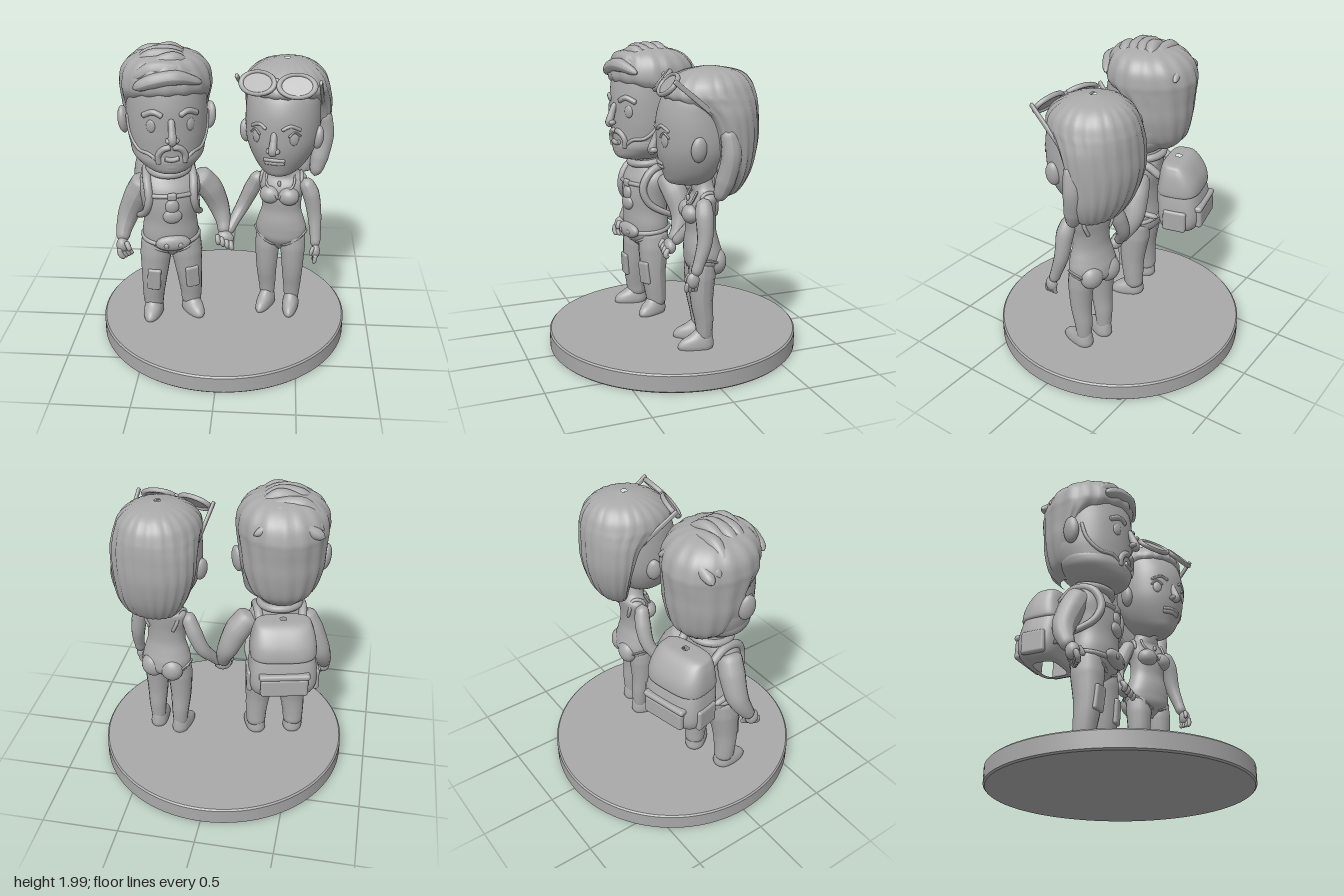
import * as THREE from 'three';
import { toCreasedNormals } from 'three/addons/utils/BufferGeometryUtils.js';
import { RoundedBoxGeometry } from 'three/addons/geometries/RoundedBoxGeometry.js';

const clay = new THREE.MeshStandardMaterial({ color: 0xa9a9a9 });
clay.name = 'clay grey';

function add(parent, name, geo, pos = [0, 0, 0], rot = [0, 0, 0], scale = [1, 1, 1]) {
  const m = new THREE.Mesh(geo, clay);
  m.name = name;
  m.position.set(...pos); m.rotation.set(...rot); m.scale.set(...scale);
  parent.add(m);
  return m;
}
const blob = (p, name, pos, scale, rot) => add(p, name, new THREE.SphereGeometry(1, 24, 16), pos, rot, scale);
const box = (p, name, size, pos, rot, r = 0.015) => add(p, name, new RoundedBoxGeometry(...size, 3, r), pos, rot);

// Cross-section rings [y, centreX, centreZ, halfWidth, frontDepth, backDepth], lowest first
function ringAt(rings, t) {
  const f = t * (rings.length - 1), i = Math.min(Math.floor(f), rings.length - 2), u = f - i;
  const [a, b, c, d] = [-1, 0, 1, 2].map(k => rings[Math.max(0, Math.min(rings.length - 1, i + k))]);
  return b.map((_, k) => 0.5 * (2 * b[k] + (c[k] - a[k]) * u + (2 * a[k] - 5 * b[k] + 4 * c[k] - d[k]) * u * u
    + (3 * b[k] - a[k] - 3 * c[k] + d[k]) * u * u * u));
}
function ringPoint([y, cx, cz, rx, rf, rb], a, off = 0, e = 1) {
  const s = Math.sin(a), c = Math.cos(a), pw = v => Math.sign(v) * Math.abs(v) ** e;
  return [cx + Math.max(0.001, rx + off) * pw(s), y, cz + Math.max(0.001, (c > 0 ? rf : rb) + off) * pw(c)];
}
function loft(parent, name, rings, { e = 1, waves = 0, depth = 0 } = {}) {
  const n = 72, rows = rings.length * 5, pos = [], idx = [];
  for (let j = 0; j <= rows; j++) {
    const ring = ringAt(rings, j / rows);
    for (let i = 0; i < n; i++) {
      const a = i / n * Math.PI * 2;
      pos.push(...ringPoint(ring, a, depth * Math.sin(a * waves + ring[0] * 5) * Math.min(1, ring[3] * 5), e));
      if (j < rows) {
        const p = j * n + i, q = j * n + (i + 1) % n;
        idx.push(p, q, p + n, q, q + n, p + n);
      }
    }
  }
  const g = new THREE.BufferGeometry();
  g.setAttribute('position', new THREE.Float32BufferAttribute(pos, 3));
  g.setIndex(idx);
  g.computeVertexNormals();
  return add(parent, name, g);
}
// Point on a lofted surface at height y and angle a (0 = front)
function onLoft(rings, y, a, off = 0) {
  let lo = 0, hi = 1;
  for (let k = 0; k < 30; k++) {
    const m = (lo + hi) / 2;
    if (ringAt(rings, m)[0] < y) lo = m; else hi = m;
  }
  return ringPoint(ringAt(rings, lo), a, off);
}
// Rounded tube through points [x, y, z, radius]
function limb(parent, name, pts, cap = 0.1) {
  const curve = new THREE.CatmullRomCurve3(pts.map(p => new THREE.Vector3(p[0], p[1], p[2])));
  const T = 28, R = 14, g = new THREE.TubeGeometry(curve, T, 1, R), pos = g.attributes.position, v = new THREE.Vector3();
  for (let i = 0; i <= T; i++) {
    const u = i / T, c = curve.getPointAt(u), f = curve.getUtoTmapping(u) * (pts.length - 1);
    const k = Math.min(Math.floor(f), pts.length - 2), d = Math.min(1, Math.min(u, 1 - u) / cap);
    const r = THREE.MathUtils.lerp(pts[k][3], pts[k + 1][3], f - k) * Math.max(0.02, Math.sqrt(1 - (1 - d) ** 2));
    for (let j = 0; j <= R; j++) {
      const q = i * (R + 1) + j;
      v.fromBufferAttribute(pos, q).sub(c).multiplyScalar(r).add(c);
      pos.setXYZ(q, v.x, v.y, v.z);
    }
  }
  g.computeVertexNormals();
  return add(parent, name, g);
}
const line = (p, name, rings, pts, r, off = 0) => limb(p, name, pts.map(([y, a]) => [...onLoft(rings, y, a, off), r]), 0.06);

function foot(parent, x, z, yaw, w, l) {
  const f = new THREE.Group();
  f.name = 'foot'; f.position.set(x, 0, z); f.rotation.y = yaw;
  loft(f, 'shoe', [[0.115, 0, 0, w * 0.9, l * 0.95, w], [0.14, 0, 0, w, l, w * 1.15], [0.175, 0, 0, w * 0.95, l * 0.85, w * 1.1],
    [0.21, 0, 0, w * 0.8, l * 0.5, w], [0.25, 0, 0, w * 0.6, w * 0.7, w * 0.8]]);
  parent.add(f);
}
function face(parent, head, o) {
  for (const s of [-1, 1]) {
    blob(parent, 'eye', onLoft(head, o.eyeY, s * o.eyeA, -0.004), [0.03, 0.042, 0.014], [0, s * o.eyeA, 0]);
    line(parent, 'eyebrow', head, [[o.browY, s * 0.2], [o.browY + 0.025, s * 0.42], [o.browY - 0.005, s * 0.72]], o.browR);
    blob(parent, 'ear', o.ear.map((v, i) => i ? v : s * v), [0.035, 0.085 * o.earS, 0.055 * o.earS], [0, s * 0.3, -s * 0.1]);
    blob(parent, 'nostril', [s * 0.024, o.noseY + 0.002, o.noseZ - 0.035], [0.02, 0.018, 0.025]);
  }
  limb(parent, 'nose', [[0, o.noseY + 0.13, o.noseZ - 0.075, 0.02], [0, o.noseY + 0.06, o.noseZ - 0.045, 0.023],
    [0, o.noseY, o.noseZ - 0.03, 0.03], [0, o.noseY - 0.02, o.noseZ - 0.05, 0.025]], 0.15);
}

function buildMan() {
  const g = new THREE.Group();
  g.name = 'man'; g.position.set(-0.36, 0, 0.03); g.rotation.y = 0.23;
  const torso = [[0.57, 0, 0.03, 0.05, 0.05, 0.05], [0.65, 0, 0.03, 0.165, 0.13, 0.13], [0.74, 0, 0.03, 0.185, 0.15, 0.14],
    [0.85, 0, 0.03, 0.175, 0.15, 0.13], [0.96, 0, 0.03, 0.185, 0.155, 0.13], [1.06, 0, 0.02, 0.205, 0.15, 0.13],
    [1.13, 0, 0.01, 0.185, 0.125, 0.12], [1.18, 0, 0, 0.13, 0.11, 0.11], [1.27, 0, 0, 0.11, 0.1, 0.1]];
  loft(g, 'torso', torso);
  add(g, 'collar', new THREE.TorusGeometry(0.125, 0.026, 12, 40), [0, 1.19, 0.01], [Math.PI / 2 + 0.12, 0, 0]);

  // Legs, knee patches and feet
  for (const s of [-1, 1]) {
    limb(g, 'leg', [[s * 0.095, 0.72, 0.03, 0.1], [s * 0.105, 0.58, 0.04, 0.105], [s * 0.12, 0.4, 0.05, 0.085],
      [s * 0.13, 0.26, 0.04, 0.072], [s * 0.13, 0.16, 0.03, 0.065]], 0.06);
    box(g, 'knee patch', [0.09, 0.16, 0.035], [s * 0.13, 0.42, 0.128], [0.08, s * 0.2, s * 0.06]);
    foot(g, s * 0.13, 0.04, s * 0.3, 0.066, 0.16);
  }
  // Hip belt with an oval pouch
  const belt = [];
  for (let i = 0; i <= 16; i++) { const a = i / 16 * Math.PI * 2; belt.push([0.715 - 0.02 * Math.cos(a), a]); }
  line(g, 'hip belt', torso, belt, 0.016);
  blob(g, 'belt pouch', [0, 0.71, 0.175], [0.115, 0.055, 0.04]);
  for (const s of [-1, 1]) {
    blob(g, 'pouch button', [s * 0.045, 0.705, 0.205], [0.018, 0.018, 0.014]);
    line(g, 'brief seam', torso, [[0.7, s * 1.2], [0.655, s * 0.7], [0.62, s * 0.2]], 0.009);
    // Backpack shoulder straps
    limb(g, 'shoulder strap', [[s * 0.13, 1.08, -0.16, 0.026], [s * 0.145, 1.165, -0.04, 0.028], [s * 0.15, 1.13, 0.09, 0.028],
      [s * 0.145, 1.02, 0.145, 0.026], [s * 0.165, 0.92, 0.11, 0.024], [s * 0.205, 0.84, -0.02, 0.02], [s * 0.18, 0.8, -0.16, 0.02]], 0.04);
  }
  line(g, 'chest strap', torso, [[1.04, -0.75], [1.045, 0], [1.04, 0.75]], 0.015, 0.006);
  box(g, 'chest buckle', [0.06, 0.05, 0.03], [0, 1.045, 0.185]);
  blob(g, 'flask top', [0, 0.975, 0.18], [0.045, 0.05, 0.026]);
  blob(g, 'flask body', [0, 0.905, 0.18], [0.062, 0.05, 0.028]);

  // Backpack
  loft(g, 'backpack', [[0.72, 0, -0.27, 0.12, 0.08, 0.08], [0.735, 0, -0.27, 0.185, 0.11, 0.13], [0.8, 0, -0.27, 0.215, 0.13, 0.16],
    [0.9, 0, -0.26, 0.215, 0.13, 0.165], [1.02, 0, -0.25, 0.195, 0.13, 0.14], [1.1, 0, -0.24, 0.17, 0.11, 0.1]], { e: 0.55 });
  loft(g, 'backpack lid', [[0.985, 0, -0.25, 0.19, 0.11, 0.14], [1.0, 0, -0.25, 0.21, 0.13, 0.165], [1.08, 0, -0.25, 0.205, 0.12, 0.15],
    [1.16, 0, -0.24, 0.185, 0.1, 0.11], [1.2, 0, -0.23, 0.15, 0.07, 0.07], [1.205, 0, -0.23, 0.02, 0.02, 0.02]], { e: 0.6 });
  box(g, 'backpack pocket', [0.3, 0.13, 0.05], [0, 0.825, -0.425], [0.05, 0, 0], 0.022);
  box(g, 'pocket flap', [0.32, 0.04, 0.06], [0, 0.9, -0.42], [0, 0, 0], 0.018);
  for (const s of [-1, 1]) box(g, 'side pocket', [0.04, 0.15, 0.16], [s * 0.21, 0.82, -0.28], [0, 0, 0], 0.018);

  // Head and face
  const head = [[1.21, 0, 0.06, 0.03, 0.03, 0.03], [1.235, 0, 0.06, 0.125, 0.165, 0.13], [1.3, 0, 0.03, 0.21, 0.225, 0.19],
    [1.4, 0, 0, 0.245, 0.265, 0.24], [1.5, 0, 0, 0.255, 0.27, 0.28], [1.65, 0, 0, 0.255, 0.27, 0.3],
    [1.8, 0, 0, 0.245, 0.24, 0.28], [1.9, 0, 0, 0.18, 0.18, 0.2], [1.95, 0, 0, 0.03, 0.03, 0.03]];
  loft(g, 'head', head);
  face(g, head, { eyeY: 1.55, eyeA: 0.5, browY: 1.615, browR: 0.018, ear: [0.275, 1.52, -0.01], earS: 1.05, noseY: 1.47, noseZ: 0.34 });
  for (const s of [-1, 1]) {
    line(g, 'moustache', head, [[1.415, s * 0.02], [1.405, s * 0.2], [1.36, s * 0.36], [1.3, s * 0.38]], 0.02);
    line(g, 'beard edge', head, [[1.58, s * 1.4], [1.46, s * 1.25], [1.375, s * 0.95], [1.36, s * 0.6], [1.32, s * 0.4]], 0.012);
  }
  loft(g, 'beard', [[1.2, 0, 0.06, 0.03, 0.03, 0.03], [1.225, 0, 0.06, 0.13, 0.175, 0.13], [1.29, 0, 0.03, 0.212, 0.235, 0.18],
    [1.34, 0, 0.01, 0.235, 0.252, 0.2], [1.38, 0, 0, 0.235, 0.245, 0.2]]);
  line(g, 'lower lip', head, [[1.34, -0.2], [1.33, 0], [1.34, 0.2]], 0.016, 0.003);
  blob(g, 'chin tuft', [0, 1.285, 0.24], [0.06, 0.035, 0.025]);

  // Hair with swept tufts
  loft(g, 'hair', [[1.28, 0, -0.12, 0.1, 0.05, 0.08], [1.36, 0, -0.08, 0.2, 0.06, 0.19], [1.5, 0, -0.05, 0.255, 0.08, 0.255],
    [1.62, 0, -0.03, 0.27, 0.1, 0.285], [1.71, 0, 0, 0.282, 0.22, 0.325], [1.77, 0, 0, 0.285, 0.27, 0.325],
    [1.86, 0, 0, 0.265, 0.25, 0.29], [1.93, 0, 0, 0.19, 0.2, 0.2], [1.965, 0, 0, 0.03, 0.03, 0.03]], { waves: 16, depth: 0.005 });
  for (let i = 0; i < 9; i++) {
    const z = 0.235 - i * 0.058, h = 0.02 * Math.sin(i * 2.3), k = 0.11 * (z / 0.25) ** 2;
    limb(g, 'hair tuft', [[-0.22, 1.83 - k * 0.5 + h, z - 0.03, 0.03], [-0.1, 1.925 - k + h, z, 0.045],
      [0.04, 1.945 - k - h * 0.5, z + 0.015, 0.045], [0.2, 1.86 - k * 0.6 + h, z - 0.02, 0.02]], 0.14);
  }
  return g;
}

function buildWoman() {
  const g = new THREE.Group();
  g.name = 'woman'; g.position.set(0.38, 0, -0.04); g.rotation.y = -0.22;
  const torso = [[0.58, 0, -0.01, 0.04, 0.04, 0.04], [0.66, 0, -0.01, 0.15, 0.1, 0.125], [0.73, 0, -0.01, 0.17, 0.11, 0.13],
    [0.8, 0, -0.01, 0.155, 0.11, 0.11], [0.88, 0, -0.01, 0.132, 0.1, 0.09], [0.97, 0, -0.01, 0.135, 0.105, 0.09],
    [1.05, 0, -0.02, 0.155, 0.1, 0.09], [1.11, 0, -0.03, 0.155, 0.08, 0.085], [1.15, 0, -0.02, 0.1, 0.075, 0.075], [1.25, 0, 0, 0.075, 0.07, 0.07]];
  loft(g, 'torso', torso);
  blob(g, 'pendant', [0, 1.08, 0.075], [0.012, 0.02, 0.012]);
  for (const s of [-1, 1]) {
    blob(g, 'bust', [s * 0.062, 0.995, 0.065], [0.07, 0.062, 0.06]);
    blob(g, 'seat', [s * 0.07, 0.685, -0.09], [0.08, 0.085, 0.065]);
    line(g, 'neckline', torso, [[1.14, s * 0.9], [1.07, s * 0.55], [1.02, s * 0.15], [0.98, 0]], 0.008, 0.012);
    line(g, 'swimsuit strap', torso, [[1.05, s * 1.1], [1.12, s * 1.15], [1.13, s * 1.9], [1.06, s * 2.3], [0.98, s * 2.5]], 0.012);
    line(g, 'leg opening', torso, [[0.625, s * 0.15], [0.66, s * 0.7], [0.72, s * 1.4], [0.7, s * 2.1], [0.64, s * 2.8]], 0.008, 0.004);
    limb(g, 'leg', [[s * 0.085, 0.72, -0.01, 0.08], [s * 0.088, 0.6, 0, 0.085], [s * 0.09, 0.42, 0, 0.07],
      [s * 0.088, 0.3, -0.015, 0.06], [s * 0.085, 0.16, -0.02, 0.046]], 0.06);
    foot(g, s * 0.085, -0.015, s * 0.12, 0.056, 0.17);
  }

  // Head and face
  const head = [[1.165, 0, 0.07, 0.03, 0.03, 0.03], [1.185, 0, 0.06, 0.1, 0.14, 0.1], [1.25, 0, 0.03, 0.165, 0.205, 0.14],
    [1.35, 0, 0.02, 0.215, 0.245, 0.2], [1.45, 0, 0.02, 0.235, 0.255, 0.24], [1.6, 0, 0.02, 0.235, 0.25, 0.25],
    [1.73, 0, 0.01, 0.215, 0.21, 0.25], [1.82, 0, 0, 0.11, 0.12, 0.12], [1.84, 0, 0, 0.03, 0.03, 0.03]];
  loft(g, 'head', head);
  face(g, head, { eyeY: 1.46, eyeA: 0.54, browY: 1.52, browR: 0.011, ear: [0.235, 1.42, 0.05], earS: 0.9, noseY: 1.385, noseZ: 0.325 });
  for (const [y, r] of [[1.315, 0.013], [1.295, 0.015]]) line(g, 'lip', head, [[y - 0.004, -0.36], [y, 0], [y - 0.004, 0.36]], r);
  for (const s of [-1, 1]) line(g, 'eyelash', head, [[1.475, s * 0.38], [1.505, s * 0.54], [1.475, s * 0.72]], 0.007, 0.003);

  // Long hair swept back, falling to one side
  loft(g, 'hair', [[1.11, 0.06, -0.11, 0.07, 0.03, 0.04], [1.15, 0.04, -0.13, 0.165, 0.06, 0.1], [1.28, 0.02, -0.15, 0.235, 0.09, 0.155],
    [1.45, 0, -0.14, 0.272, 0.1, 0.205], [1.6, 0, -0.12, 0.28, 0.17, 0.225], [1.68, 0, -0.09, 0.272, 0.29, 0.25],
    [1.73, 0, -0.06, 0.265, 0.31, 0.27], [1.8, 0, -0.05, 0.235, 0.255, 0.25], [1.86, 0, -0.05, 0.16, 0.16, 0.18],
    [1.89, 0, -0.05, 0.02, 0.02, 0.02]], { waves: 22, depth: 0.005 });
  limb(g, 'side lock', [[0.23, 1.55, -0.12, 0.05], [0.245, 1.38, -0.14, 0.06], [0.22, 1.22, -0.11, 0.06], [0.2, 1.1, -0.07, 0.035]], 0.12);

  // Sunglasses resting on the hair
  const s = new THREE.Group();
  s.name = 'sunglasses'; s.position.set(0, 1.79, 0.215); s.rotation.x = -0.7;
  for (const k of [-1, 1]) {
    add(s, 'lens rim', new THREE.TorusGeometry(0.1, 0.016, 10, 36), [k * 0.122, 0, 0], [0, k * 0.12, k * 0.1], [1.08, 0.74, 1]);
    add(s, 'lens', new THREE.CylinderGeometry(0.1, 0.1, 0.008, 32), [k * 0.122, 0, 0], [Math.PI / 2, 0, -k * 0.12], [1.08, 1, 0.74]);
    box(s, 'temple arm', [0.02, 0.03, 0.38], [k * 0.25, 0.035, -0.18], [0, k * 0.06, 0], 0.008);
  }
  box(s, 'bridge', [0.06, 0.025, 0.025], [0, 0.02, 0.01], [0, 0, 0], 0.01);
  g.add(s);
  return g;
}

export function createModel() {
  const root = new THREE.Group();
  root.name = 'couple on a round base';
  const profile = [[0, 0], [0.82, 0], [0.83, 0.01], [0.83, 0.11], [0.82, 0.12], [0, 0.12]].map(p => new THREE.Vector2(...p));
  add(root, 'base', toCreasedNormals(new THREE.LatheGeometry(profile, 96), 0.5));
  root.add(buildMan(), buildWoman());

  // Arms, meeting in the middle with clasped hands
  limb(root, 'man right arm', [[-0.5, 1.12, 0.07, 0.08], [-0.57, 0.99, 0.05, 0.085], [-0.635, 0.84, 0.05, 0.072], [-0.665, 0.73, 0.1, 0.05], [-0.665, 0.67, 0.14, 0.042]]);
  limb(root, 'man left arm', [[-0.19, 1.12, -0.02, 0.08], [-0.1, 1.0, -0.06, 0.085], [-0.04, 0.86, -0.08, 0.07], [-0.005, 0.75, -0.04, 0.048], [0, 0.68, 0.01, 0.042]]);
  limb(root, 'woman left arm', [[0.52, 1.11, 0, 0.045], [0.57, 1.01, 0.01, 0.056], [0.6, 0.86, 0.02, 0.047], [0.61, 0.73, 0.06, 0.036], [0.612, 0.65, 0.09, 0.034]]);
  limb(root, 'woman right arm', [[0.235, 1.11, -0.08, 0.045], [0.18, 0.98, -0.11, 0.054], [0.12, 0.85, -0.11, 0.046], [0.06, 0.75, -0.05, 0.036], [0.02, 0.68, 0, 0.034]]);
  blob(root, 'man right hand', [-0.668, 0.655, 0.15], [0.04, 0.055, 0.045]);
  blob(root, 'woman left hand', [0.614, 0.63, 0.1], [0.03, 0.05, 0.04]);
  blob(root, 'clasped hands', [0.01, 0.665, 0.02], [0.06, 0.05, 0.04], [0, 0, -0.4]);
  for (let i = 0; i < 4; i++) {
    const x = -0.685 + i * 0.015, z = 0.185 - i * 0.022, c = -0.045 + i * 0.03;
    limb(root, 'man finger', [[x, 0.65, z, 0.019], [x + 0.012, 0.605, z + 0.01, 0.018], [x + 0.035, 0.575, z, 0.014]], 0.2);
    limb(root, 'woman finger', [[0.614, 0.62, 0.135 - i * 0.02, 0.015], [0.61, 0.58, 0.14 - i * 0.02, 0.014], [0.6, 0.555, 0.135 - i * 0.02, 0.011]], 0.2);
    limb(root, 'clasped finger', [[c, 0.7 - i * 0.014, 0.04, 0.017], [c + 0.01, 0.66 - i * 0.014, 0.066, 0.018], [c + 0.015, 0.63 - i * 0.01, 0.045, 0.015]], 0.2);
  }
  limb(root, 'man thumb', [[-0.64, 0.69, 0.165, 0.018], [-0.62, 0.655, 0.185, 0.017], [-0.615, 0.63, 0.19, 0.013]], 0.2);
  limb(root, 'woman thumb', [[0.6, 0.67, 0.115, 0.014], [0.585, 0.635, 0.13, 0.013], [0.58, 0.61, 0.13, 0.01]], 0.2);
  return root;
}
